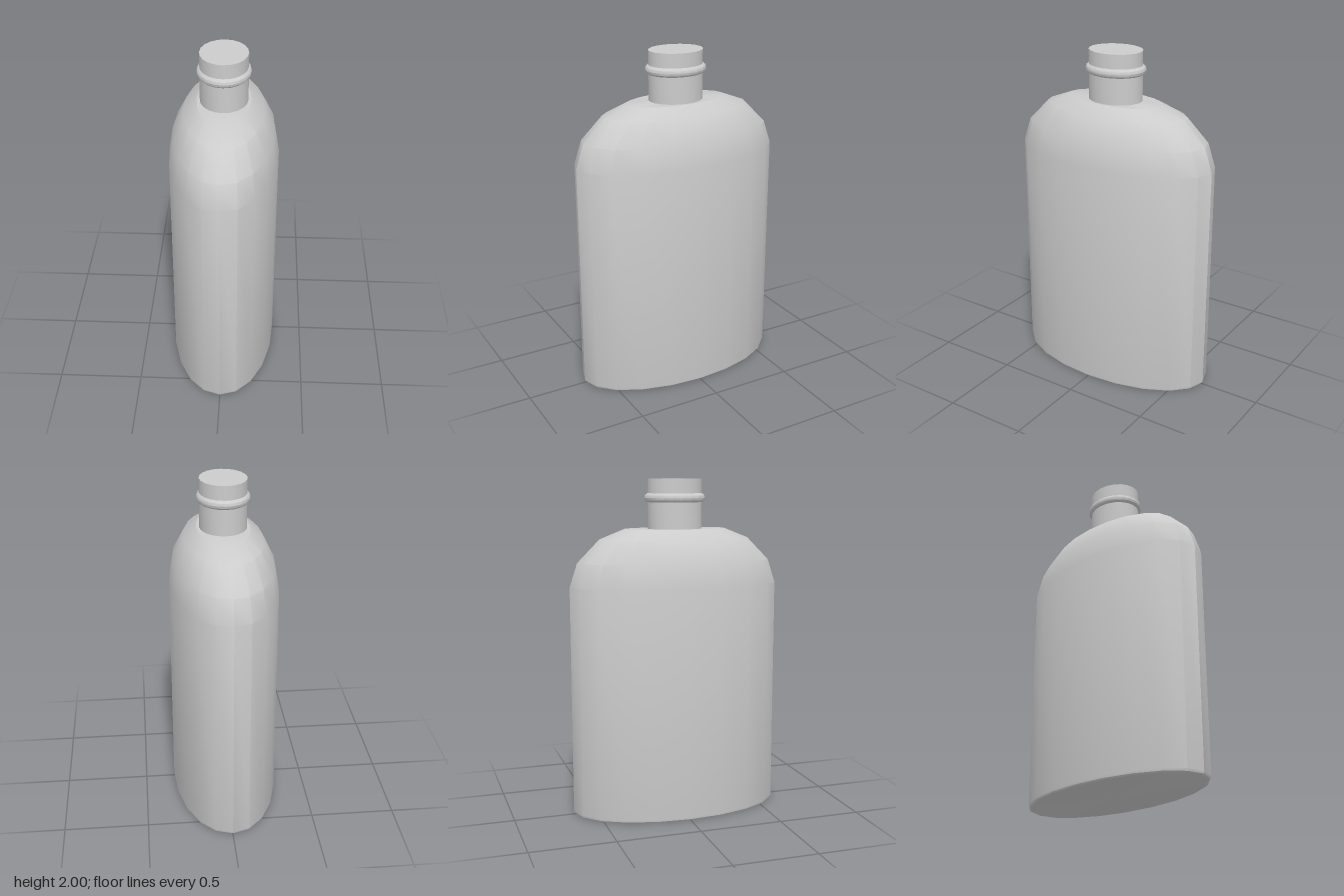
import * as THREE from 'three';
import { toCreasedNormals } from 'three/addons/utils/BufferGeometryUtils.js';

const SIDES = 20;
const material = new THREE.MeshStandardMaterial({ color: 0xcccccc });

// Turned profile of [radius, height] pairs, squeezed along x into an oval section
function ovalLathe(name, profile, squeeze) {
  const points = profile.map(([r, y]) => new THREE.Vector2(r, y));
  const geometry = new THREE.LatheGeometry(points, SIDES);
  geometry.scale(squeeze, 1, 1);
  const mesh = new THREE.Mesh(toCreasedNormals(geometry, Math.PI / 6), material);
  mesh.name = name;
  return mesh;
}

export function createModel() {
  const bottle = new THREE.Group();
  bottle.name = 'bottle';

  // Oval body with a small foot bevel and a rounded shoulder
  bottle.add(ovalLathe('body', [
    [0, 0], [0.622, 0], [0.635, 0.007], [0.64, 0.02],
    [0.64, 1.38], [0.593, 1.52], [0.463, 1.65], [0.31, 1.71], [0, 1.71],
  ], 0.5));

  // Closed neck, slightly oval
  bottle.add(ovalLathe('neck', [
    [0.163, 1.70], [0.163, 2], [0, 2],
  ], 0.845));

  // Rounded bead around the neck
  bottle.add(ovalLathe('neckRing', [
    [0.155, 1.863], [0.168, 1.866], [0.179, 1.876], [0.183, 1.89],
    [0.179, 1.904], [0.168, 1.914], [0.155, 1.922],
  ], 0.845));

  return bottle;
}
